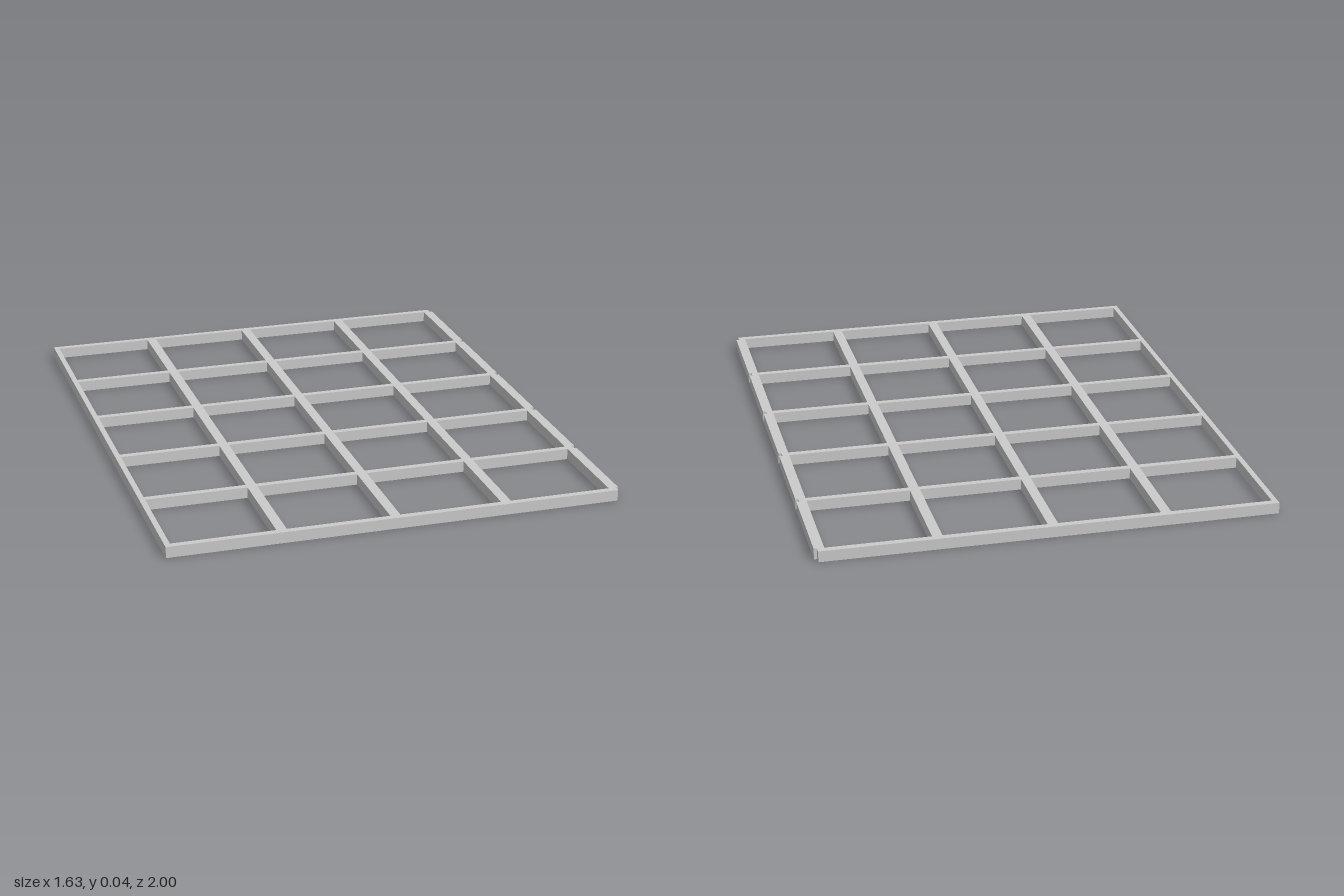
import * as THREE from 'three';

export function createModel() {
  const model = new THREE.Group();
  model.name = 'lattice';
  const material = new THREE.MeshStandardMaterial({ color: 0xcccccc, flatShading: true });
  const height = 0.04;

  const bar = (name, x0, x1, z0, z1) => {
    const mesh = new THREE.Mesh(new THREE.BoxGeometry(x1 - x0, height, z1 - z0), material);
    mesh.position.set((x0 + x1) / 2, height / 2, (z0 + z1) / 2);
    mesh.name = name;
    model.add(mesh);
  };

  const left = -0.816, right = 0.816;
  const rowEnd = 0.805; // cross bars stop short, leaving notches on the right edge
  const rowWidth = 0.024, rowStep = (2 - rowWidth) / 5;
  const columnWidth = 0.036, columnStep = 0.403;

  // Six cross bars running left to right
  for (let i = 0; i < 6; i++) {
    const z = -1 + i * rowStep;
    bar('crossBar', left, rowEnd, z, z + rowWidth);
  }

  // Five lengthwise bars, each in segments between the cross bars
  for (let c = 0; c < 5; c++) {
    const x1 = right - (4 - c) * columnStep;
    const x0 = Math.max(left, x1 - columnWidth); // the leftmost bar is slimmer
    for (let i = 0; i < 5; i++) {
      const z = -1 + i * rowStep;
      bar(c === 0 || c === 4 ? 'sideBarSegment' : 'lengthBarSegment', x0, x1, z + rowWidth, z + rowStep);
    }
  }
  return model;
}
